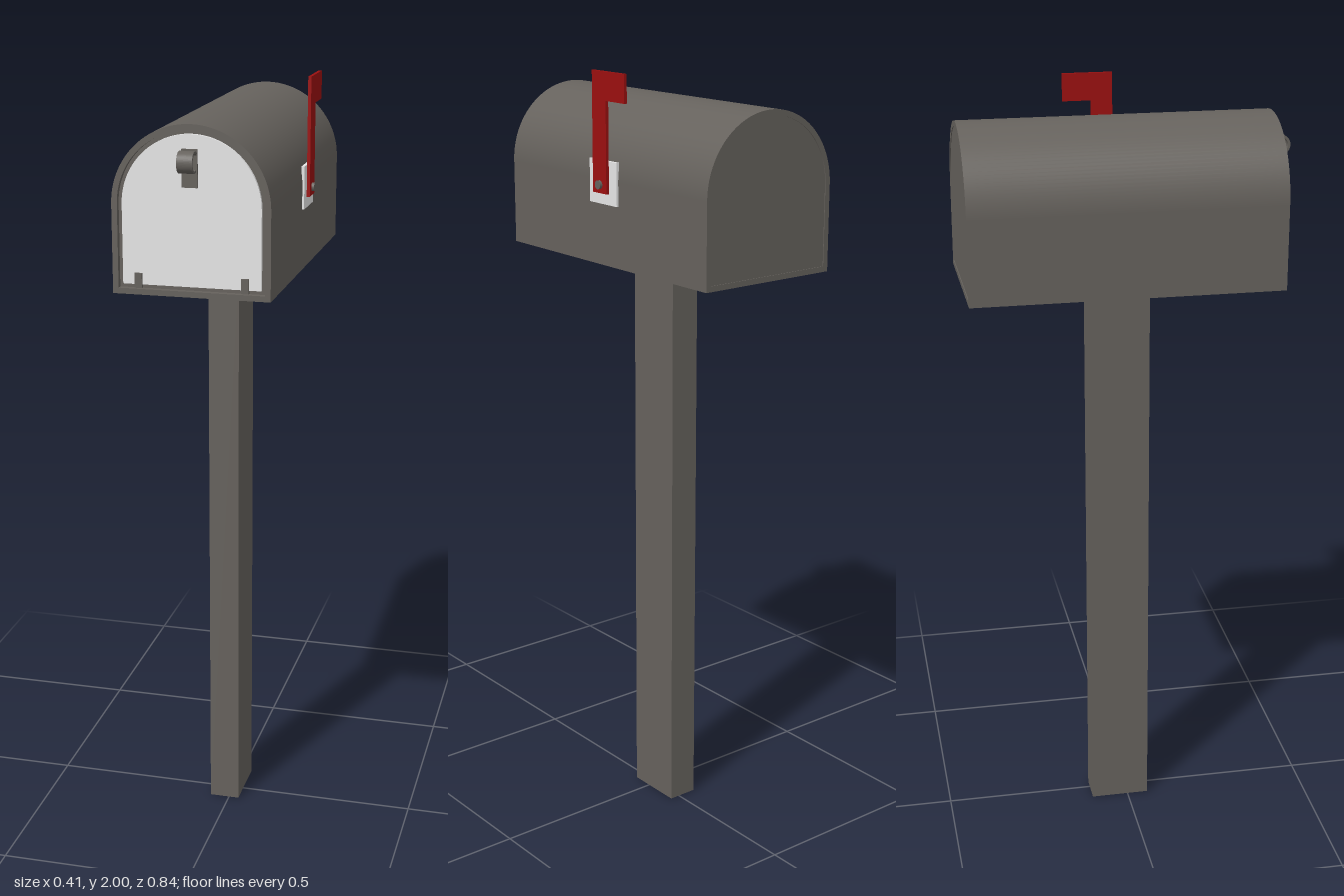
import * as THREE from 'three';

const CX = -0.011, BASE = 1.52, R = 0.194, SPRING = 1.736;
const FRONT = 0.373, BACK = -0.418;

const paint = (name, color, side = THREE.FrontSide) => {
  const m = new THREE.MeshStandardMaterial({ color, side });
  m.name = name;
  return m;
};

// Arched outline with a flat floor, shrunk inward by an inset
function arch(inset, Type = THREE.Shape) {
  const s = new Type(), r = R - inset;
  s.moveTo(CX - r, BASE + inset);
  s.lineTo(CX + r, BASE + inset);
  s.lineTo(CX + r, SPRING);
  s.absarc(CX, SPRING, r, 0, Math.PI, false);
  s.closePath();
  return s;
}

function extrude(shape, z0, z1) {
  const g = new THREE.ExtrudeGeometry(shape, { depth: z1 - z0, bevelEnabled: false, curveSegments: 32 });
  g.translate(0, 0, z0);
  return g;
}

// Box given by its minimum and maximum corners
function boxBetween(a, b) {
  const g = new THREE.BoxGeometry(b[0] - a[0], b[1] - a[1], b[2] - a[2]);
  g.translate((a[0] + b[0]) / 2, (a[1] + b[1]) / 2, (a[2] + b[2]) / 2);
  return g;
}

// Smooth normals along the arch, sharp at the corners
function smoothArch(geometry) {
  const p = geometry.attributes.position, n = geometry.attributes.normal;
  for (let i = 0; i < p.count; i++) {
    if (Math.abs(n.getZ(i)) > 0.5 || p.getY(i) < SPRING - 0.001 || n.getY(i) < -0.5) continue;
    const dx = p.getX(i) - CX, dy = p.getY(i) - SPRING, len = Math.hypot(dx, dy);
    const sign = Math.sign(dx * n.getX(i) + dy * n.getY(i)) || 1;
    n.setXYZ(i, sign * dx / len, sign * dy / len, 0);
  }
  return geometry;
}

export function createModel() {
  const model = new THREE.Group();
  model.name = 'mailbox';
  const metal = paint('dark metal', 0x66625d);
  const metalSheet = paint('thin dark metal', 0x66625d, THREE.DoubleSide);
  const white = paint('white', 0xe6e6e6);
  const red = paint('flag red', 0x9c1010);

  const add = (name, geometry, material, parent = model) => {
    const mesh = new THREE.Mesh(geometry, material);
    mesh.name = name;
    parent.add(mesh);
    return mesh;
  };

  // Post: hollow rectangular tube, open at the ground
  const post = new THREE.CylinderGeometry(Math.SQRT1_2, Math.SQRT1_2, 1, 4, 1, true)
    .rotateY(Math.PI / 4).scale(0.08, BASE, 0.157)
    .translate(-0.013, BASE / 2, -0.0215).toNonIndexed();
  post.computeVertexNormals();
  add('post', post, metalSheet);

  // Body: arched shell, closed at the back
  const shell = arch(0);
  shell.holes.push(arch(0.014, THREE.Path));
  add('bodyShell', smoothArch(extrude(shell, BACK, FRONT)), metal);
  add('backPanel', smoothArch(extrude(arch(0.012), BACK + 0.002, BACK + 0.012)), metal);

  // Door: dark pan with a raised white panel
  const door = new THREE.Group();
  door.name = 'door';
  model.add(door);
  add('doorPan', smoothArch(extrude(arch(0.012), FRONT - 0.03, FRONT - 0.014)), metal, door);
  add('doorPanel', smoothArch(extrude(arch(0.024), FRONT - 0.014, FRONT - 0.006)), white, door);

  // Small hinge tabs along the bottom of the door
  for (const side of [-1, 1]) {
    const x = CX + side * 0.131;
    add('hingeTab', boxBetween([x - 0.009, 1.536, FRONT - 0.01], [x + 0.009, 1.572, FRONT - 0.001]), metal, door);
  }

  // Handle: mounting plate and a curled strip
  const hx = -0.013, hw = 0.038;
  add('handlePlate', boxBetween([hx - hw / 2, 1.782, FRONT - 0.008], [hx + hw / 2, 1.872, FRONT - 0.001]), metal, door);
  const curl = new THREE.Shape();
  curl.absarc(0, 0, 0.026, 0.8, 5.1, false);
  curl.absarc(0, 0, 0.02, 5.1, 0.8, true);
  curl.closePath();
  const strip = new THREE.ExtrudeGeometry(curl, { depth: hw, bevelEnabled: false, curveSegments: 20 });
  strip.rotateY(Math.PI / 2).translate(hx - hw / 2, 1.845, 0.392);
  add('handleCurl', strip, metal, door);

  // Signal flag on the left wall: plate, arm with head, pivot bolt
  const flag = new THREE.Group();
  flag.name = 'flag';
  model.add(flag);
  add('flagPlate', boxBetween([0.18, 1.675, -0.08], [0.188, 1.783, 0.03]), white, flag);
  const outline = new THREE.Shape([
    [-0.005, 1.703], [0.05, 1.703], [0.05, 1.93], [0.124, 1.93], [0.124, 2], [-0.005, 2],
  ].map(([x, y]) => new THREE.Vector2(x, y)));
  const arm = new THREE.ExtrudeGeometry(outline, { depth: 0.008, bevelEnabled: false });
  arm.rotateY(Math.PI / 2).translate(0.189, 0, 0);
  add('flagArm', arm, red, flag);
  const bolt = new THREE.CylinderGeometry(0.011, 0.011, 0.02, 16);
  bolt.rotateZ(Math.PI / 2).translate(0.194, 1.724, -0.023);
  add('flagBolt', bolt, metal, flag);

  return model;
}
